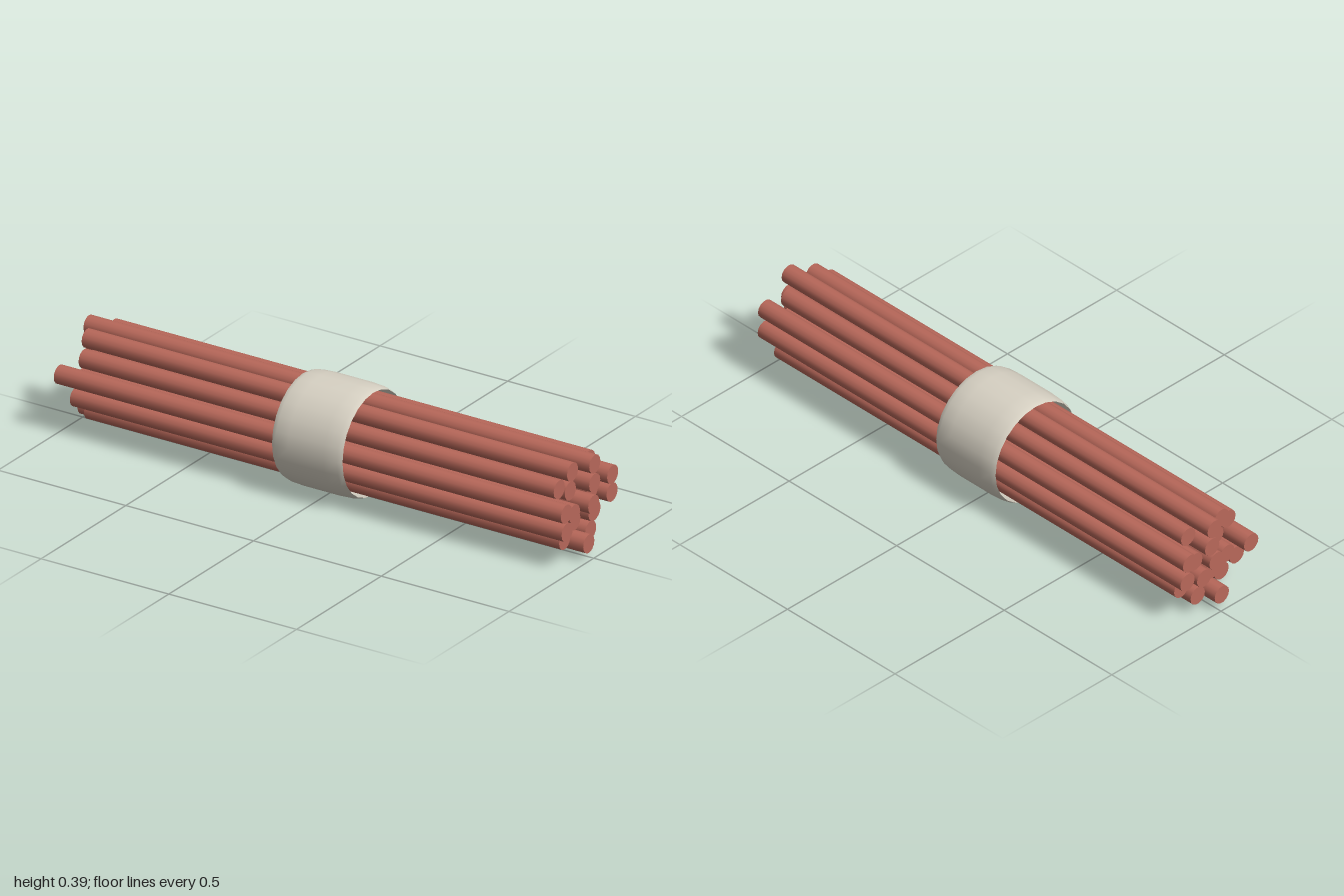
import * as THREE from 'three';

export function createModel() {
  const group = new THREE.Group();
  const rodRed = new THREE.MeshStandardMaterial({ color: 0xb8685a });
  rodRed.name = 'rod red';
  const bandCream = new THREE.MeshStandardMaterial({ color: 0xd8d2c4, side: THREE.DoubleSide });
  bandCream.name = 'band cream';
  const centreY = 0.193;

  // One rod lying along x, from x0 to x1
  function addRod(name, radius, angle, x0, x1) {
    const rod = new THREE.Mesh(new THREE.CylinderGeometry(0.033, 0.033, x1 - x0, 14), rodRed);
    rod.name = name;
    rod.rotation.z = -Math.PI / 2;
    rod.position.set((x0 + x1) / 2, centreY + radius * Math.sin(angle), radius * Math.cos(angle));
    group.add(rod);
  }

  // Rings of rods with uneven ends
  function addRing(name, radius, phase, ends) {
    ends.forEach(([x0, x1], i) => {
      addRod(`${name}${i + 1}`, radius, phase + (i / ends.length) * Math.PI * 2, x0, x1);
    });
  }
  addRod('centreRod', 0, 0, -0.98, 1);
  addRing('innerRod', 0.07, -0.22, [
    [-0.96, 0.97], [-0.93, 0.94], [-0.98, 0.99], [-0.95, 0.95], [-0.97, 0.97], [-0.94, 0.94],
  ]);
  addRing('outerRod', 0.139, 0.1, [
    [-1, 0.985], [-0.92, 0.94], [-0.945, 0.955], [-0.985, 0.995], [-0.93, 0.93], [-0.985, 0.99],
    [-0.985, 0.98], [-0.93, 0.93], [-0.95, 0.95], [-0.99, 0.99], [-0.92, 0.94], [-0.945, 0.98],
  ]);

  // Open band around the middle, drawn in slightly at both rims
  const profile = [
    [0.183, -0.138], [0.19, -0.12], [0.193, -0.07], [0.193, 0.07], [0.19, 0.12], [0.183, 0.138],
  ].map(([r, h]) => new THREE.Vector2(r, h));
  const band = new THREE.Mesh(new THREE.LatheGeometry(profile, 24), bandCream);
  band.name = 'band';
  band.rotation.z = -Math.PI / 2;
  band.position.y = centreY;
  group.add(band);

  return group;
}
